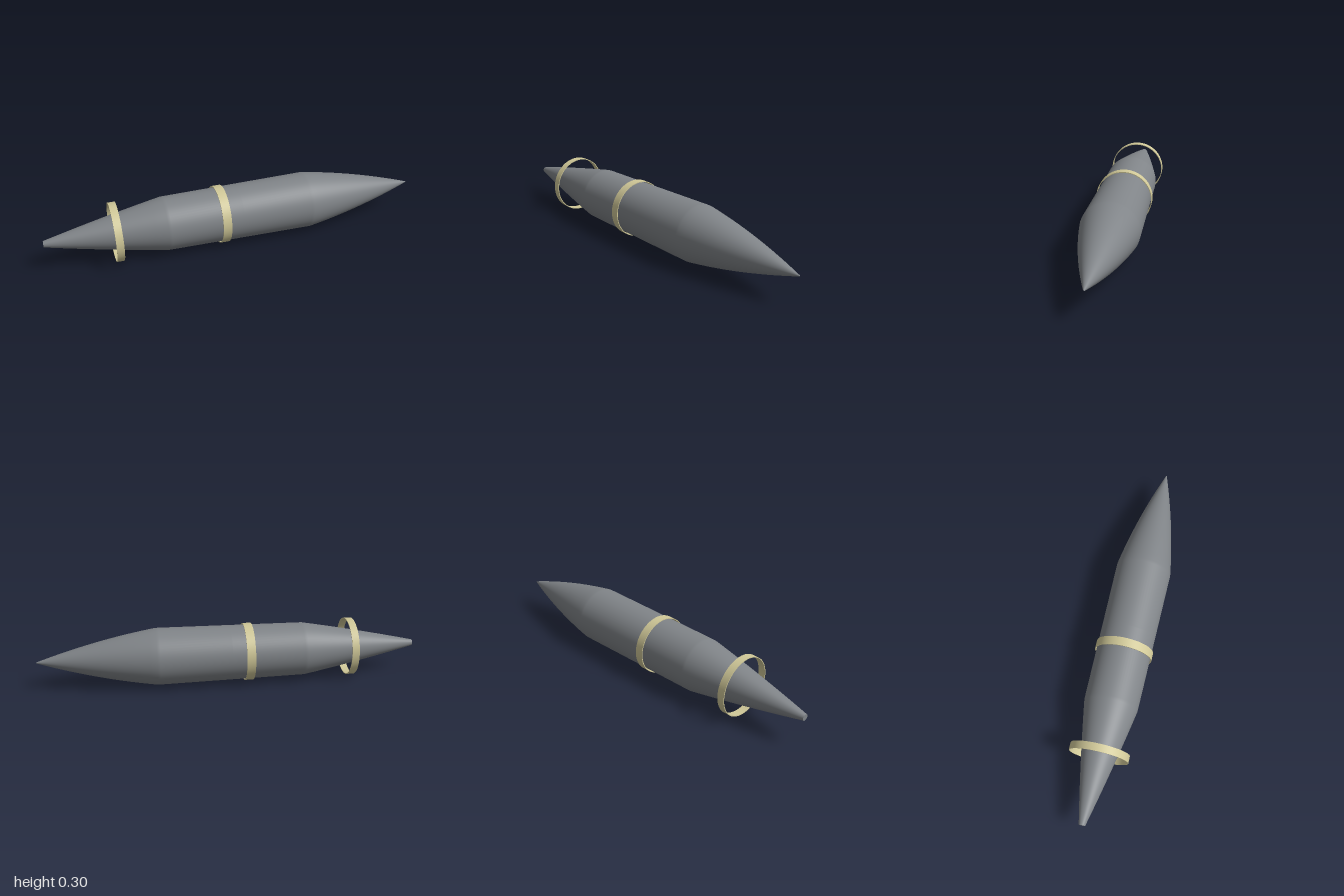
import * as THREE from 'three';
import { toCreasedNormals } from 'three/addons/utils/BufferGeometryUtils.js';

const AXIS_Y = 0.152;
const SEGMENTS = 64;

// Spins [axial position, radius] points around the x axis
function spin(points) {
  const profile = points.map(([x, r]) => new THREE.Vector2(r, x));
  return new THREE.LatheGeometry(profile, SEGMENTS).rotateZ(-Math.PI / 2);
}

// Slightly bulged taper between two stations
function taper(x0, r0, x1, r1, bulge, steps) {
  return Array.from({ length: steps + 1 }, (_, i) => {
    const t = i / steps;
    return [x0 + (x1 - x0) * t, r0 + (r1 - r0) * t + 4 * bulge * t * (1 - t)];
  });
}

export function createModel() {
  const model = new THREE.Group();
  model.name = 'projectile';

  const steel = new THREE.MeshStandardMaterial({ color: 0x808488 });
  steel.name = 'steel grey';
  const brass = new THREE.MeshStandardMaterial({ color: 0xd0c898 });
  brass.name = 'pale brass';

  function add(name, geometry, material) {
    const mesh = new THREE.Mesh(geometry, material);
    mesh.name = name;
    mesh.position.y = AXIS_Y;
    model.add(mesh);
  }

  // Tapered tail, gently widening middle and curved nose in one skin
  const body = spin([
    ...taper(-1, 0.016, -0.395, 0.139, 0.004, 10),
    [-0.38, 0.1395],
    [0, 0.144],
    [0.37, 0.1485],
    ...taper(0.385, 0.1485, 1, 0.002, 0.014, 18),
  ]);
  add('body', body, steel);

  // Flat end of the tail
  add('tailCap', new THREE.CircleGeometry(0.016, SEGMENTS).rotateY(-Math.PI / 2).translate(-1, 0, 0), steel);

  // Thin hoops standing just clear of the body
  function addRing(name, x0, x1, outer, inner) {
    const ring = spin([[x0, inner], [x0, outer], [x1, outer], [x1, inner], [x0, inner]]);
    add(name, toCreasedNormals(ring, 0.6), brass);
  }
  addRing('rearRing', -0.662, -0.624, 0.152, 0.148);
  addRing('middleRing', -0.117, -0.072, 0.151, 0.147);

  return model;
}
